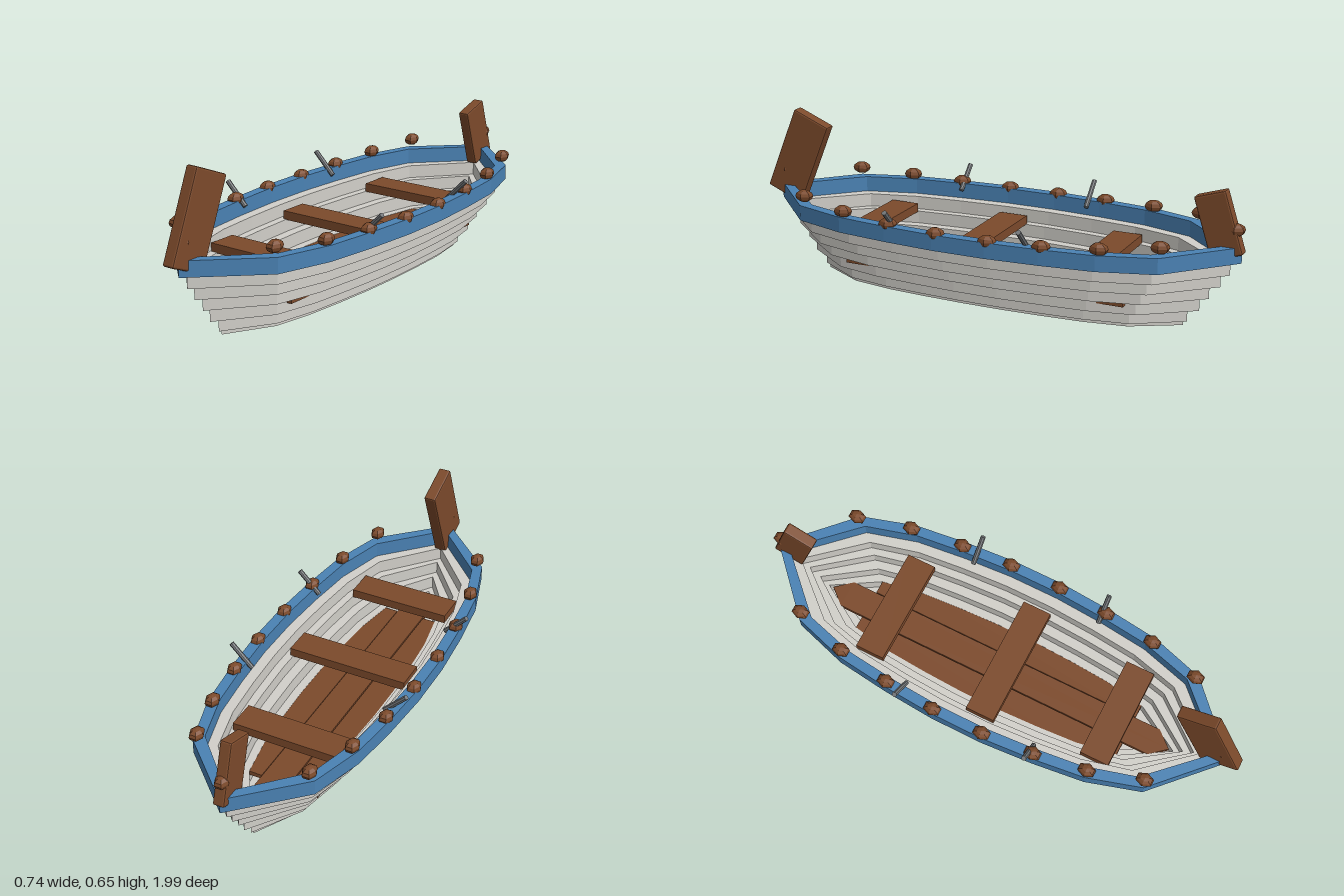
import * as THREE from 'three';
import { RoundedBoxGeometry } from 'three/addons/geometries/RoundedBoxGeometry.js';

const mat = (name, color) => {
  const m = new THREE.MeshStandardMaterial({ color, flatShading: true });
  m.name = name;
  return m;
};

export function createModel() {
  const white = mat('weathered white planks', 0xd2d0ca);
  const blue = mat('blue gunwale paint', 0x4a82b4);
  const wood = mat('brown wood', 0x7c4a2b);
  const metal = mat('grey metal', 0x777a7d);

  const boat = new THREE.Group();
  boat.name = 'rowingBoat';
  const MID = -0.02; // z of the hull's middle

  const add = (name, geometry, material, x, y, z) => {
    const mesh = new THREE.Mesh(geometry, material);
    mesh.name = name;
    mesh.position.set(x, y, z);
    boat.add(mesh);
    return mesh;
  };

  // Flat shape laid in the ground plane and raised to a thickness
  const slab = (shape, depth) =>
    new THREE.ExtrudeGeometry(shape, { depth, bevelEnabled: false }).rotateX(-Math.PI / 2);

  // Pointed hull outline (counter-clockwise), as fractions of half width and half length
  const side = [[0.7, -0.76], [0.885, -0.54], [0.957, -0.325], [1, -0.11],
    [1, 0.11], [0.957, 0.325], [0.885, 0.54], [0.7, 0.76]];
  const outline = [[0, -1], ...side, [0, 1], ...side.map(([x, z]) => [-x, z]).reverse()];
  const points = (w, l) => outline.map(([x, z]) => new THREE.Vector2(x * w, z * l));

  const strake = (name, material, w, l, y0, y1, wall) => {
    const shape = new THREE.Shape(points(w, l));
    if (wall) shape.holes.push(new THREE.Path(points(w - wall, l - wall * 1.15)));
    add(name, slab(shape, y1 - y0), material, 0, y0, MID);
  };

  // Stepped hull: bottom plate, five planks and the painted rim
  strake('hullBottom', white, 0.145, 0.755, 0, 0.016, 0);
  [
    [0.163, 0.77, 0.016, 0.066],
    [0.203, 0.815, 0.066, 0.118],
    [0.237, 0.85, 0.118, 0.17],
    [0.277, 0.891, 0.17, 0.22],
    [0.31, 0.925, 0.22, 0.272],
  ].forEach(([w, l, y0, y1], i) => strake('hullPlank' + (i + 1), white, w, l, y0, y1, 0.045));
  strake('gunwale', blue, 0.35, 0.966, 0.272, 0.333, 0.042);

  // Floor boards, the middle one pointed at both ends
  const board = new THREE.Shape([[0, -0.745], [0.056, -0.68], [0.056, 0.68], [0, 0.745], [-0.056, 0.68], [-0.056, -0.68]]
    .map(([x, z]) => new THREE.Vector2(x, z)));
  add('floorBoardCentre', slab(board, 0.019), wood, 0, 0.1, MID);
  for (const s of [-1, 1]) {
    add('floorBoardSide', new THREE.BoxGeometry(0.113, 0.017, 1.155), wood, s * 0.1155, 0.1085, -0.023);
  }

  // Benches: half width, z centre
  for (const [w, z] of [[0.215, -0.47], [0.245, 0.027], [0.205, 0.494]]) {
    add('bench', new THREE.BoxGeometry(w * 2, 0.035, 0.117), wood, 0, 0.235, z);
  }

  // Leaning stem and stern posts
  add('bowPost', new RoundedBoxGeometry(0.05, 0.354, 0.163, 1, 0.007), wood, 0, 0.457, 0.857).rotation.x = -0.39;
  add('sternPost', new RoundedBoxGeometry(0.046, 0.244, 0.125, 1, 0.007), wood, 0, 0.407, -0.899).rotation.x = 0.31;

  // Faceted knobs along the rim, rising towards the ends
  const knob = new THREE.SphereGeometry(1, 6, 6);
  knob.scale(0.028, 0.024, 0.037);
  for (const e of [-1, 1]) {
    for (const s of [-1, 1]) {
      for (const [x, y, z] of [[0.33, 0.333, 0.105], [0.315, 0.338, 0.312], [0.285, 0.35, 0.522], [0.225, 0.368, 0.73]]) {
        add('rimKnob', knob, wood, s * x, y, MID - 0.005 + e * z);
      }
    }
    add('endKnob', knob, wood, 0, 0.396, MID + e * 0.94);
  }

  // Slanted oar pins
  const pin = new THREE.CylinderGeometry(0.01, 0.01, 0.122, 8);
  for (const s of [-1, 1]) {
    for (const z of [-0.27, 0.274]) {
      add('oarPin', pin, metal, s * 0.32, 0.353, z).rotation.z = -s * Math.PI / 4;
    }
  }
  return boat;
}
